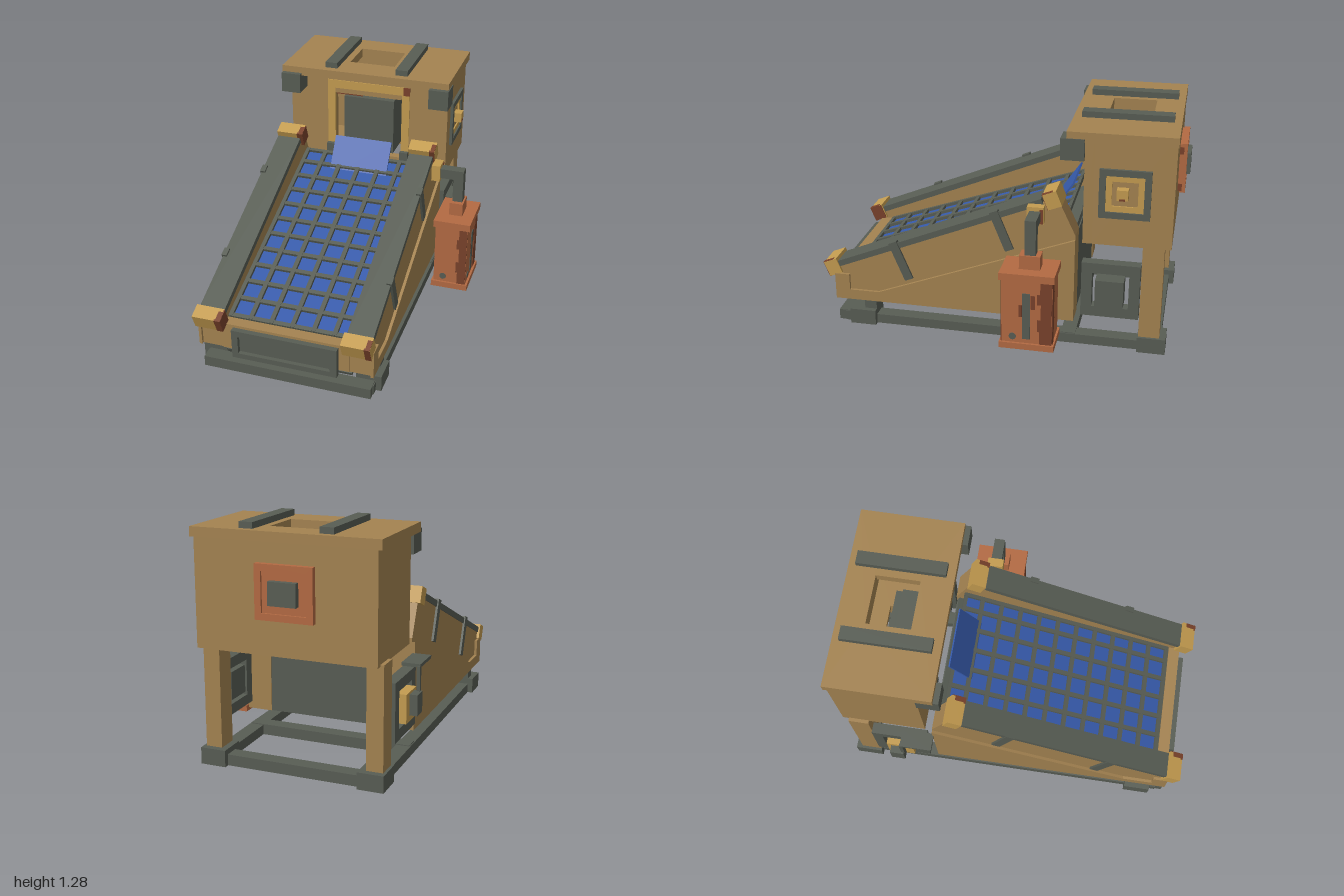
import * as THREE from 'three';

const mat = (name, color) => Object.assign(new THREE.MeshStandardMaterial({ color }), { name });

export function createModel() {
  const root = new THREE.Group();
  root.name = 'screeningPlant';
  const tan = mat('tan', 0xa48351), light = mat('lightTan', 0xc49c50), gray = mat('steelGray', 0x585d54);
  const red = mat('rustRed', 0xb36a43), dark = mat('darkRust', 0x79422b), blue = mat('blue', 0x365aaa);

  const add = (geo, m, name, parent = root) => {
    const mesh = new THREE.Mesh(geo, m);
    mesh.name = name;
    parent.add(mesh);
    return mesh;
  };
  // Box given by its bounds
  const box = (m, name, x0, x1, y0, y1, z0, z1, parent = root) => {
    const mesh = add(new THREE.BoxGeometry(x1 - x0, y1 - y0, z1 - z0), m, name, parent);
    mesh.position.set((x0 + x1) / 2, (y0 + y1) / 2, (z0 + z1) / 2);
    return mesh;
  };
  // Rectangular plate with a rectangular hole, thickness along +z before turning
  const framePlate = ([a, b, c, d], [e, f, g, h], depth) => {
    const s = new THREE.Shape([[a, c], [b, c], [b, d], [a, d]].map(p => new THREE.Vector2(...p)));
    s.holes.push(new THREE.Path([[e, g], [e, h], [f, h], [f, g], [e, g]].map(p => new THREE.Vector2(...p))));
    return new THREE.ExtrudeGeometry(s, { depth, bevelEnabled: false });
  };
  // Side profile of [z, y] points, extruded across x
  const sideSlab = (pts, x0, x1) => {
    const s = new THREE.Shape(pts.map(([z, y]) => new THREE.Vector2(-z, y)));
    return new THREE.ExtrudeGeometry(s, { depth: x1 - x0, bevelEnabled: false }).rotateY(Math.PI / 2).translate(x0, 0, 0);
  };
  // Group whose local -z runs uphill
  const slope = (name, y, z, angle) => {
    const g = new THREE.Group();
    g.name = name;
    g.position.set(0, y, z);
    g.rotation.x = angle;
    root.add(g);
    return g;
  };
  const MID = -0.085; // centre line of the machine
  const sides = [-1, 1];

  // Base frame and feet
  for (const s of sides) {
    const x = MID + s * 0.435;
    box(gray, 'baseRail', x - 0.04, x + 0.04, 0, 0.055, -0.9, 0.9);
    box(gray, 'rearFoot', x - 0.07, x + 0.07, 0, 0.09, -0.94, -0.785);
    box(gray, 'frontFoot', x - 0.07, x + 0.07, 0, 0.09, 0.71, 0.86);
    box(gray, 'frontFootPost', x - 0.04, x + 0.04, 0.09, 0.145, 0.71, 0.78);
    box(tan, 'rearLeg', x - 0.035 - (s < 0 ? 0.02 : 0), x + 0.035 + (s > 0 ? 0.02 : 0), 0.09, 0.64, -0.905, -0.79);
  }
  for (const z of [0.9, -0.4, -0.87]) box(gray, 'baseCrossbar', -0.555, 0.385, 0, 0.06, z - 0.04, z + 0.04);

  // Sloped side walls with a thicker lower step
  const wall = [[0.93, 0.145], [-0.43, 0.145], [-0.43, 0.65], [-0.33, 0.86], [0.93, 0.35]];
  const skirt = [[0.945, 0.145], [-0.43, 0.145], [-0.43, 0.63], [0.69, 0.205], [0.86, 0.205], [0.86, 0.3], [0.945, 0.3]];
  for (const s of sides) {
    const xo = MID + s * 0.472, xi = MID + s * 0.345, xs = MID + s * 0.488;
    add(sideSlab(wall, Math.min(xo, xi), Math.max(xo, xi)), tan, 'sideWall');
    add(sideSlab(skirt, Math.min(xs, xo), Math.max(xs, xo)), tan, 'sideSkirt');
  }
  box(tan, 'frontBoard', -0.44, 0.27, 0.145, 0.3, 0.87, 0.935);
  box(gray, 'rearPanel', -0.44, 0.27, 0.145, 0.62, -0.425, -0.4);

  // Front plate with raised rim
  add(framePlate([-0.375, 0.21, 0.115, 0.285], [-0.34, 0.17, 0.145, 0.25], 0.03), gray, 'frontRim').position.z = 0.935;
  box(gray, 'frontPlate', -0.345, 0.175, 0.14, 0.255, 0.93, 0.942);

  // Rails, caps, straps and the collecting tray along the slope
  const deck = slope('slopedDeck', 0.335, 0.955, 0.388);
  const L = 1.357;
  box(gray, 'collectingTray', -0.44, 0.27, -0.255, -0.235, -1.38, 0.03, deck);
  for (const s of sides) {
    const x = MID + s * 0.408;
    box(gray, 'topRail', x - 0.07, x + 0.07, -0.008, 0.026, -L + 0.055, -0.03, deck);
    for (const z of [0, -L]) {
      box(light, 'endCap', x - 0.08, x + 0.077, -0.045, 0.045, z - 0.04, z + 0.04, deck);
      // Worn corner of the cap; on the outer side the end face stays clean
      const end = s < 0 ? 0.08 : 0.0765;
      box(dark, 'capRustFront', x + 0.045, x + end, -0.046, 0.046, z + 0.03, z + 0.042, deck);
      box(dark, 'capRustTop', x + 0.052, x + end, 0.04, 0.047, z - 0.02, z + 0.042, deck);
      if (s < 0) box(dark, 'capRustEnd', x + 0.075, x + 0.081, -0.045, 0.045, z - 0.035, z + 0.04, deck);
    }
    for (const z of [-0.403, -1.026]) {
      const o = MID + s * 0.485, i = MID + s * 0.465;
      box(gray, 'sideStrap', Math.min(o, i), Math.max(o, i), -0.2, 0.037, z - 0.025, z + 0.025, deck);
      const t = MID + s * 0.455;
      box(gray, 'strapHook', Math.min(o, t), Math.max(o, t), 0.024, 0.037, z - 0.025, z + 0.025, deck);
    }
  }

  // Screen: blue sheet right below a grid of bars, a little flatter than the rails
  const screen = slope('screen', 0.305, 0.855, 0.33);
  box(blue, 'screenSheet', -0.43, 0.26, -0.02, -0.01, -1.29, 0, screen);
  for (let i = 0; i < 11; i++) {
    const z = -i * 0.1188;
    box(gray, 'screenCrossbar', -0.43, 0.26, -0.012, 0.006, z - 0.012, z + 0.012, screen);
  }
  box(gray, 'screenEndBar', -0.43, 0.26, -0.012, 0.006, -1.3, -1.28, screen);
  for (const x of [-0.42, -0.305, -0.188, -0.07, 0.05, 0.165, 0.25])
    box(gray, 'screenLongBar', x - 0.012, x + 0.012, -0.012, 0.008, -1.295, 0.01, screen);

  // Feed chute plate dipping through the screen
  const chute = box(blue, 'feedChute', -0.24, 0.11, -0.128, 0.128, -0.005, 0.005);
  chute.position.set(-0.065, 0.735, -0.302);
  chute.rotation.x = -0.6;

  // Cabin walls, floor and roof
  const frontWall = add(framePlate([-0.555, 0.42, 0.63, 1.2], [-0.275, 0.14, 0.7, 1.08], 0.05), tan, 'cabinFront');
  frontWall.position.z = -0.52;
  box(tan, 'cabinBack', -0.555, 0.42, 0.63, 1.2, -0.94, -0.9);
  box(tan, 'cabinLeft', 0.38, 0.42, 0.63, 1.2, -0.9, -0.52);
  box(tan, 'cabinRight', -0.555, -0.515, 0.63, 1.2, -0.9, -0.52);
  const floor = add(framePlate([-0.52, 0.385, 0.5, 0.905], [-0.275, 0.14, 0.53, 0.8], 0.03), tan, 'cabinFloor');
  floor.rotation.x = -Math.PI / 2;
  floor.position.y = 0.631;
  const roof = add(framePlate([-0.575, 0.44, 0.375, 0.945], [-0.205, 0.07, 0.55, 0.79], 0.052), tan, 'roof');
  roof.rotation.x = -Math.PI / 2;
  roof.position.y = 1.2;
  for (const x of [-0.2825, 0.1475]) box(gray, 'roofStrap', x - 0.037, x + 0.037, 1.25, 1.285, -0.905, -0.42);
  for (const x of [-0.5125, 0.3875]) box(gray, 'eaveBlock', x - 0.058, x + 0.058, 1.098, 1.215, -0.47, -0.345);

  // Doorway surround and the panel within
  box(light, 'doorHeader', -0.32, 0.15, 1.11, 1.16, -0.48, -0.464);
  box(dark, 'doorHeaderRust', 0.15, 0.19, 1.11, 1.16, -0.48, -0.464);
  box(tan, 'doorLintel', -0.275, 0.14, 1.08, 1.11, -0.48, -0.467);
  box(dark, 'lintelRust', -0.275, -0.11, 1.062, 1.08, -0.5, -0.494);
  for (const x of [-0.2975, 0.165]) {
    box(light, 'doorPost', x - 0.0235, x + 0.0235, 0.73, 1.11, -0.48, -0.464);
    box(gray, 'doorBracket', x - 0.025, x + 0.025, 0.69, 0.75, -0.475, -0.438);
  }
  box(gray, 'feedGate', -0.22, 0.09, 0.72, 1.06, -0.67, -0.475);
  box(gray, 'feedGateBack', -0.22, 0.09, 0.72, 1.03, -0.71, -0.67);

  // Hatch on the cabin's left side
  const ring = (m, name, z, y, r, hole, x0, x1) => {
    const mesh = add(framePlate([-r, r, -r, r], [-hole, hole, -hole, hole], x1 - x0), m, name);
    mesh.rotation.y = Math.PI / 2;
    mesh.position.set(x0, y, z);
  };
  ring(gray, 'hatchFrame', -0.685, 0.925, 0.135, 0.1, 0.415, 0.437);
  ring(light, 'hatchInnerFrame', -0.685, 0.925, 0.1, 0.068, 0.415, 0.428);
  box(light, 'hatchKnob', 0.415, 0.468, 0.905, 0.962, -0.705, -0.645);
  box(dark, 'hatchKnobRust', 0.462, 0.47, 0.904, 0.915, -0.69, -0.66);

  // Back hatch with raised rim
  box(red, 'backHatch', -0.235, 0.065, 0.825, 1.095, -0.968, -0.935);
  add(framePlate([-0.24, 0.07, 0.82, 1.1], [-0.205, 0.035, 0.855, 1.065], 0.03), red, 'backHatchRim').position.z = -0.98;
  box(gray, 'backHatchPlate', -0.16, -0.01, 0.9, 1.02, -1.0, -0.96);
  for (const y of [0.85, 1.06]) box(dark, 'backHatchRust', 0.064, 0.073, y - 0.02, y + 0.02, -0.962, -0.94);

  // Square drive housings below the cabin
  ring(gray, 'driveFrameLeft', -0.628, 0.358, 0.158, 0.1, 0.36, 0.42);
  ring(gray, 'driveFrameRight', -0.628, 0.358, 0.158, 0.1, -0.592, -0.53);
  box(gray, 'driveBlockLeft', 0.36, 0.462, 0.28, 0.435, -0.703, -0.55);
  box(light, 'driveBlockRight', -0.622, -0.53, 0.28, 0.435, -0.703, -0.55);
  // Lever on the right side
  box(gray, 'leverPlate', -0.66, -0.56, 0.552, 0.57, -0.605, -0.425);
  box(gray, 'leverRod', -0.66, -0.642, 0.42, 0.56, -0.61, -0.59);
  box(gray, 'leverWeight', -0.67, -0.628, 0.32, 0.43, -0.675, -0.595);

  // Tank with pipe
  box(red, 'tankBody', 0.465, 0.655, 0.12, 0.5, -0.352, -0.08);
  box(red, 'tankBase', 0.453, 0.668, 0.09, 0.125, -0.364, -0.067);
  box(red, 'tankLid', 0.453, 0.668, 0.492, 0.533, -0.364, -0.067);
  box(red, 'tankNeck', 0.522, 0.6, 0.53, 0.61, -0.276, -0.163);
  box(gray, 'pipeUpright', 0.532, 0.59, 0.6, 0.805, -0.25, -0.19);
  box(gray, 'pipeArm', 0.45, 0.532, 0.748, 0.805, -0.25, -0.19);
  box(light, 'pipeSocket', 0.405, 0.455, 0.732, 0.827, -0.266, -0.176);
  box(dark, 'socketRust', 0.45, 0.458, 0.735, 0.815, -0.264, -0.245);

  // Rust with stepped edges and bare metal on the tank, one row per step: [y0, y1, width]
  for (const [y0, y1, w] of [[0.125, 0.2, 0.05], [0.2, 0.27, 0.06], [0.27, 0.36, 0.045], [0.36, 0.42, 0.06], [0.42, 0.492, 0.048]]) {
    box(dark, 'rustFront', 0.655 - w, 0.654, y0, y1, -0.083, -0.076);
    box(dark, 'rustSide', 0.652, 0.658, y0, y1, -0.351, -0.351 + w * 1.3);
    box(dark, 'rustBack', 0.654 - w, 0.654, y0, y1, -0.355, -0.349);
  }
  box(dark, 'rustPatch', 0.652, 0.658, 0.33, 0.41, -0.262, -0.237);
  box(dark, 'rustPatch', 0.652, 0.658, 0.28, 0.35, -0.191, -0.175);
  box(gray, 'bareStrip', 0.652, 0.659, 0.15, 0.42, -0.235, -0.193);
  const spot = new THREE.CylinderGeometry(0.02, 0.02, 0.008, 12);
  const front = add(spot, gray, 'frontPlug');
  front.rotation.x = Math.PI / 2;
  front.position.set(0.52, 0.16, -0.081);
  const side = add(spot, gray, 'sidePlug');
  side.rotation.z = Math.PI / 2;
  side.position.set(0.654, 0.16, -0.14);

  return root;
}
